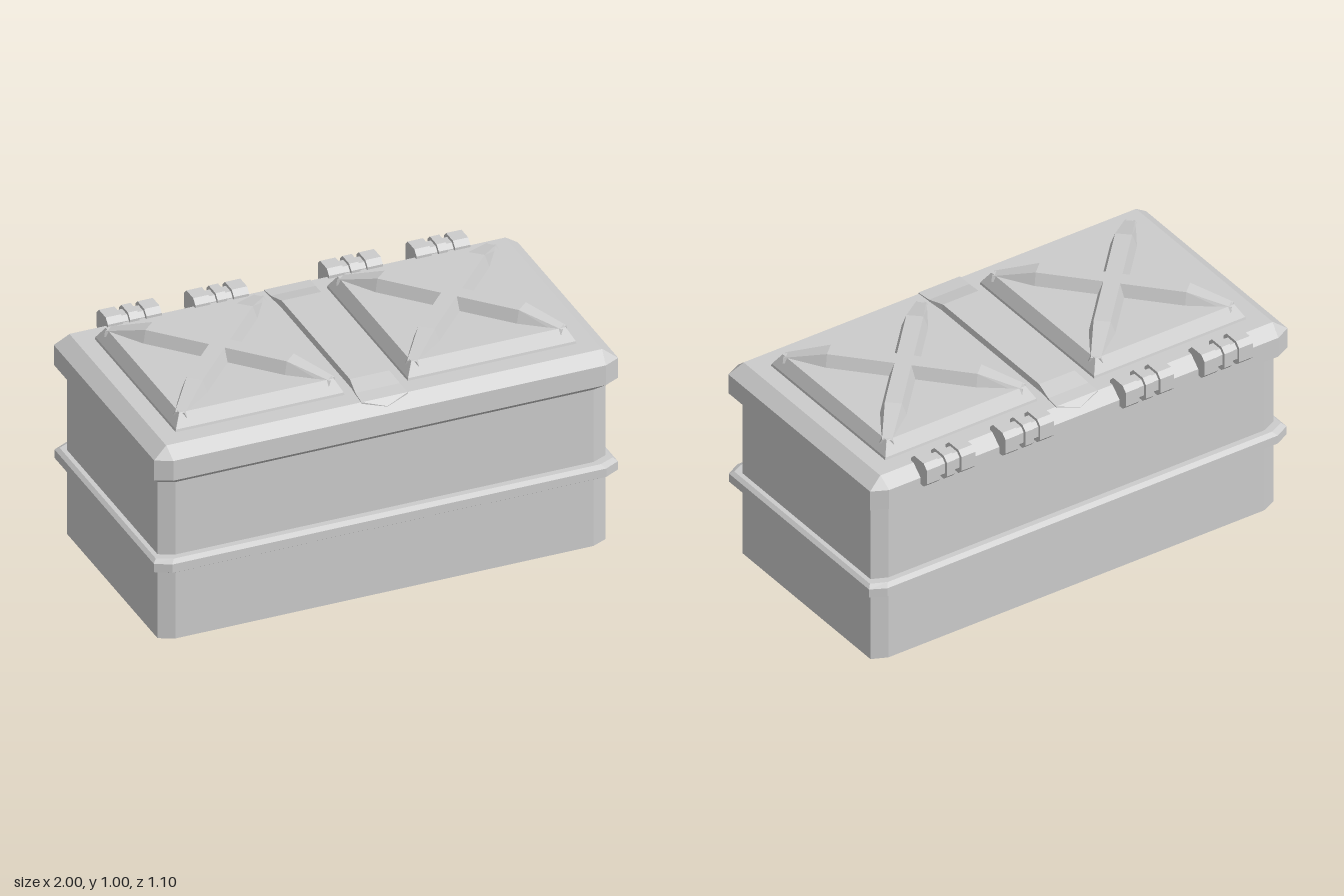
import * as THREE from 'three';

const material = new THREE.MeshStandardMaterial({ color: 0xcccccc, flatShading: true });

// Skin a row of equal-length cross-sections and cap both ends.
function loft(name, sections) {
  const pos = [];
  const tri = (a, b, c) => pos.push(...a, ...b, ...c);
  const n = sections[0].length;
  for (let s = 0; s < sections.length - 1; s++) {
    const lo = sections[s], hi = sections[s + 1];
    for (let i = 0; i < n; i++) {
      const j = (i + 1) % n;
      tri(lo[i], lo[j], hi[j]);
      tri(lo[i], hi[j], hi[i]);
    }
  }
  const first = sections[0], last = sections[sections.length - 1];
  for (let i = 1; i < n - 1; i++) {
    tri(first[0], first[i + 1], first[i]);
    tri(last[0], last[i], last[i + 1]);
  }
  const geo = new THREE.BufferGeometry();
  geo.setAttribute('position', new THREE.Float32BufferAttribute(pos, 3));
  geo.computeVertexNormals();
  const mesh = new THREE.Mesh(geo, material);
  mesh.name = name;
  return mesh;
}

// Horizontal rectangle with cut corners (cx, cz are the cut lengths).
function rect(y, hx, z0, z1, cx = 0.001, cz = 0.001) {
  return [
    [hx - cx, y, z1], [hx, y, z1 - cz], [hx, y, z0 + cz], [hx - cx, y, z0],
    [cx - hx, y, z0], [-hx, y, z0 + cz], [-hx, y, z1 - cz], [cx - hx, y, z1],
  ];
}

// Upright trapezoid across z, used for bars and ribs.
const trapezoid = (z, wBase, wTop, yBase, yTop) =>
  [[-wBase, yBase, z], [wBase, yBase, z], [wTop, yTop, z], [-wTop, yTop, z]];

// Octagonal prism along x: a square of half size r with cut corners.
function octagonBar(name, x, width, r, cut) {
  const k = r - cut;
  const shape = new THREE.Shape([
    [r, -k], [r, k], [k, r], [-k, r], [-r, k], [-r, -k], [-k, -r], [k, -r],
  ].map(([a, b]) => new THREE.Vector2(a, b)));
  const geo = new THREE.ExtrudeGeometry(shape, { depth: width, bevelEnabled: false });
  geo.translate(0, 0, -width / 2).rotateY(Math.PI / 2);
  const mesh = new THREE.Mesh(geo, material);
  mesh.name = name;
  mesh.position.x = x;
  return mesh;
}

// Raised panel with a crossed pair of ribs.
function lidPanel(name, x) {
  const group = new THREE.Group();
  group.name = name;
  group.position.set(x, 0, 0.017);
  group.add(loft('panelBase', [
    rect(0.885, 0.365, -0.4, 0.4),
    rect(0.9, 0.362, -0.396, 0.396),
    rect(0.953, 0.333, -0.362, 0.362),
  ]));
  const angle = Math.atan2(0.335, 0.365);
  for (const side of [-1, 1]) {
    const rib = loft('crossRib', [
      trapezoid(-0.485, 0.03, 0.02, 0.93, 0.95),
      trapezoid(-0.305, 0.056, 0.034, 0.945, 1.005),
      trapezoid(0.305, 0.056, 0.034, 0.945, 1.005),
      trapezoid(0.485, 0.03, 0.02, 0.93, 0.95),
    ]);
    rib.rotation.y = side * angle;
    group.add(rib);
  }
  return group;
}

// Hinge: a core with three thicker knuckles.
function hinge(x) {
  const group = new THREE.Group();
  group.name = 'hinge';
  group.position.set(x, 0.87, -0.495);
  group.add(octagonBar('hingeCore', 0, 0.215, 0.042, 0.018));
  group.add(octagonBar('hingeKnuckle', -0.083, 0.066, 0.055, 0.022));
  group.add(octagonBar('hingeKnuckle', 0, 0.04, 0.055, 0.022));
  group.add(octagonBar('hingeKnuckle', 0.083, 0.066, 0.055, 0.022));
  return group;
}

export function createModel() {
  const model = new THREE.Group();
  model.name = 'storageChest';

  // Box body with cut corners
  model.add(loft('body', [
    rect(0, 0.965, -0.455, 0.498, 0.065, 0.03),
    rect(0.73, 0.965, -0.455, 0.498, 0.065, 0.03),
  ]));

  // Band around the body
  model.add(loft('band', [
    rect(0.32, 0.985, -0.48, 0.525, 0.065, 0.03),
    rect(0.333, 1, -0.5, 0.545, 0.065, 0.034),
    rect(0.371, 1, -0.5, 0.545, 0.065, 0.034),
    rect(0.384, 0.985, -0.48, 0.525, 0.065, 0.03),
  ]));

  // Lid with bevelled rim
  model.add(loft('lid', [
    rect(0.715, 0.965, -0.455, 0.498, 0.065, 0.03),
    rect(0.755, 1, -0.507, 0.548, 0.068, 0.034),
    rect(0.845, 1, -0.507, 0.548, 0.068, 0.034),
    rect(0.89, 0.94, -0.457, 0.495),
  ]));

  // Bar between the panels, pointed at both ends
  model.add(loft('centreBar', [
    trapezoid(-0.485, 0.001, 0.001, 0.85, 0.866),
    trapezoid(-0.46, 0.1, 0.1, 0.85, 0.893),
    trapezoid(-0.4, 0.1, 0.096, 0.85, 0.897),
    trapezoid(-0.32, 0.1, 0.085, 0.85, 0.915),
    trapezoid(0.35, 0.1, 0.085, 0.85, 0.915),
    trapezoid(0.43, 0.1, 0.096, 0.85, 0.897),
    trapezoid(0.5, 0.1, 0.1, 0.85, 0.893),
    trapezoid(0.526, 0.001, 0.001, 0.85, 0.866),
  ]));

  model.add(lidPanel('leftPanel', 0.5), lidPanel('rightPanel', -0.5));

  // Hinges along the back edge
  for (const x of [-0.665, -0.288, 0.288, 0.665]) model.add(hinge(x));

  return model;
}
